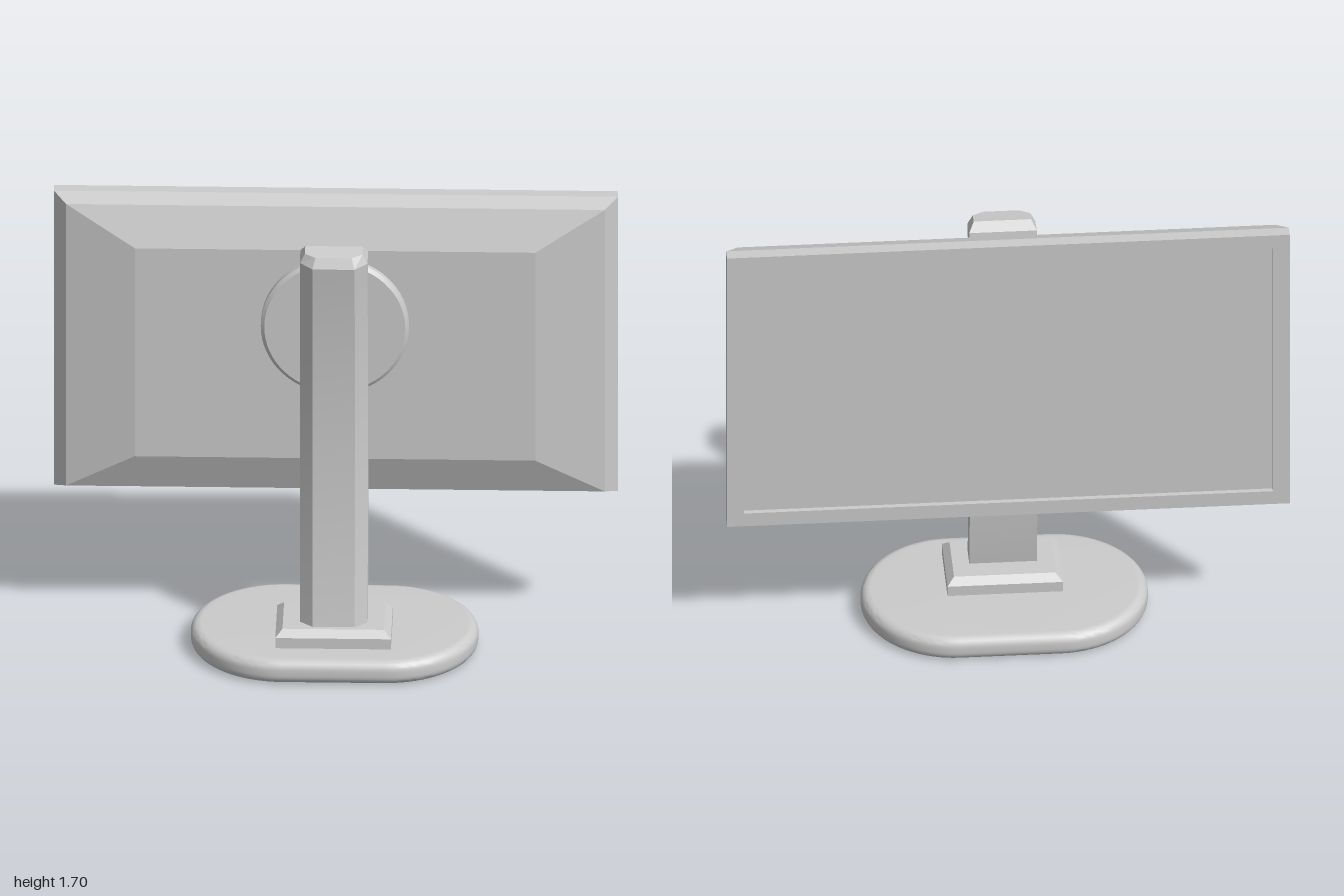
import * as THREE from 'three';
import { toCreasedNormals } from 'three/addons/utils/BufferGeometryUtils.js';

const grey = new THREE.MeshStandardMaterial({ color: 0xcccccc });

function addMesh(parent, name, geometry) {
  const mesh = new THREE.Mesh(geometry, grey);
  mesh.name = name;
  parent.add(mesh);
  return mesh;
}

// Closed skin through rings of equal point count, with flat end caps
function loft(rings) {
  const pos = [];
  const tri = (...pts) => pts.forEach((p) => pos.push(...p));
  const n = rings[0].length;
  for (let i = 0; i < rings.length - 1; i++) {
    for (let j = 0; j < n; j++) {
      const k = (j + 1) % n;
      tri(rings[i][j], rings[i][k], rings[i + 1][k]);
      tri(rings[i][j], rings[i + 1][k], rings[i + 1][j]);
    }
  }
  const first = rings[0], last = rings[rings.length - 1];
  for (let j = 1; j < n - 1; j++) {
    tri(first[0], first[j + 1], first[j]);
    tri(last[0], last[j], last[j + 1]);
  }
  const geometry = new THREE.BufferGeometry();
  geometry.setAttribute('position', new THREE.Float32BufferAttribute(pos, 3));
  geometry.computeVertexNormals();
  return toCreasedNormals(geometry, 0.15);
}

const rect = (w, h) => [[w, -h], [w, h], [-w, h], [-w, -h]];

// Oval base with rounded rim
function baseGeometry() {
  const bevel = 0.035, r = 0.33 - bevel, cx = 0.18;
  const shape = new THREE.Shape();
  shape.absarc(cx, 0, r, -Math.PI / 2, Math.PI / 2, false);
  shape.absarc(-cx, 0, r, Math.PI / 2, Math.PI * 1.5, false);
  const g = new THREE.ExtrudeGeometry(shape, {
    depth: 0.09 - 2 * bevel, bevelSize: bevel, bevelThickness: bevel,
    bevelSegments: 6, curveSegments: 32,
  });
  g.translate(0, 0, bevel).rotateX(-Math.PI / 2);
  return toCreasedNormals(g, 0.6);
}

// Curved column: chamfered section swept along an arc, then a tapered cap
function columnGeometry() {
  const section = [[0.12, -0.06], [-0.12, -0.06], [-0.12, 0.02],
    [-0.075, 0.06], [0.075, 0.06], [0.12, 0.02]];
  const R = 4.9, start = -0.151, end = 0.146, steps = 20;
  const ring = (t, sx = 1, sd = 1, lift = 0) => section.map(([x, d]) => {
    const s = R - d * sd;
    return [x * sx,
      0.86 + s * Math.sin(t) + lift * Math.cos(t),
      0.06 + R - s * Math.cos(t) + lift * Math.sin(t)];
  });
  const rings = [];
  for (let i = 0; i <= steps; i++) rings.push(ring(start + (end - start) * i / steps));
  rings.push(ring(end, 0.85, 0.62, 0.034));
  return loft(rings);
}

// Chamfered bar running from the column to the mounting disc
function armGeometry() {
  const w = 0.065, h = 0.053, c = 0.027;
  const shape = new THREE.Shape([
    [w, -h + c], [w, h - c], [w - c, h], [-w + c, h],
    [-w, h - c], [-w, -h + c], [-w + c, -h], [w - c, -h],
  ].map(([x, y]) => new THREE.Vector2(x, y)));
  return new THREE.ExtrudeGeometry(shape, { depth: 0.1, bevelEnabled: false });
}

export function createModel() {
  const model = new THREE.Group();
  model.name = 'monitor';

  // Stand
  const stand = new THREE.Group();
  stand.name = 'stand';
  model.add(stand);
  addMesh(stand, 'base', baseGeometry());
  const plate = [[0.205, 0.133, 0.08], [0.205, 0.133, 0.13], [0.18, 0.108, 0.155]];
  addMesh(stand, 'footPlate', loft(plate.map(([w, d, y]) =>
    rect(w, d).map(([x, z]) => [x, y, 0.082 - z]))));
  addMesh(stand, 'column', columnGeometry());

  // Mount
  const mount = new THREE.Group();
  mount.name = 'mount';
  model.add(mount);
  for (const [name, y] of [['upperArm', 1.385], ['lowerArm', 1.13]]) {
    addMesh(mount, name, armGeometry()).position.set(0, y, -0.04);
  }
  const profile = [[0, -0.06], [0.263, -0.06], [0.263, -0.032], [0.25, -0.022], [0, -0.022]]
    .map(([r, z]) => new THREE.Vector2(r, z));
  const disc = new THREE.LatheGeometry(profile, 64).rotateX(Math.PI / 2);
  addMesh(mount, 'mountingDisc', toCreasedNormals(disc, 0.4)).position.y = 1.24;

  // Display: recessed screen, bezel, rim and stepped rear housing
  const layers = [[0.94, 0.525, -0.192], [0.94, 0.525, -0.21], [1, 0.58, -0.21],
    [1, 0.58, -0.165], [0.955, 0.555, -0.108], [0.71, 0.41, -0.053]];
  addMesh(model, 'display', loft(layers.map(([w, h, z]) =>
    rect(w, h).map(([x, y]) => [x, y + 1.12, z]))));

  return model;
}
